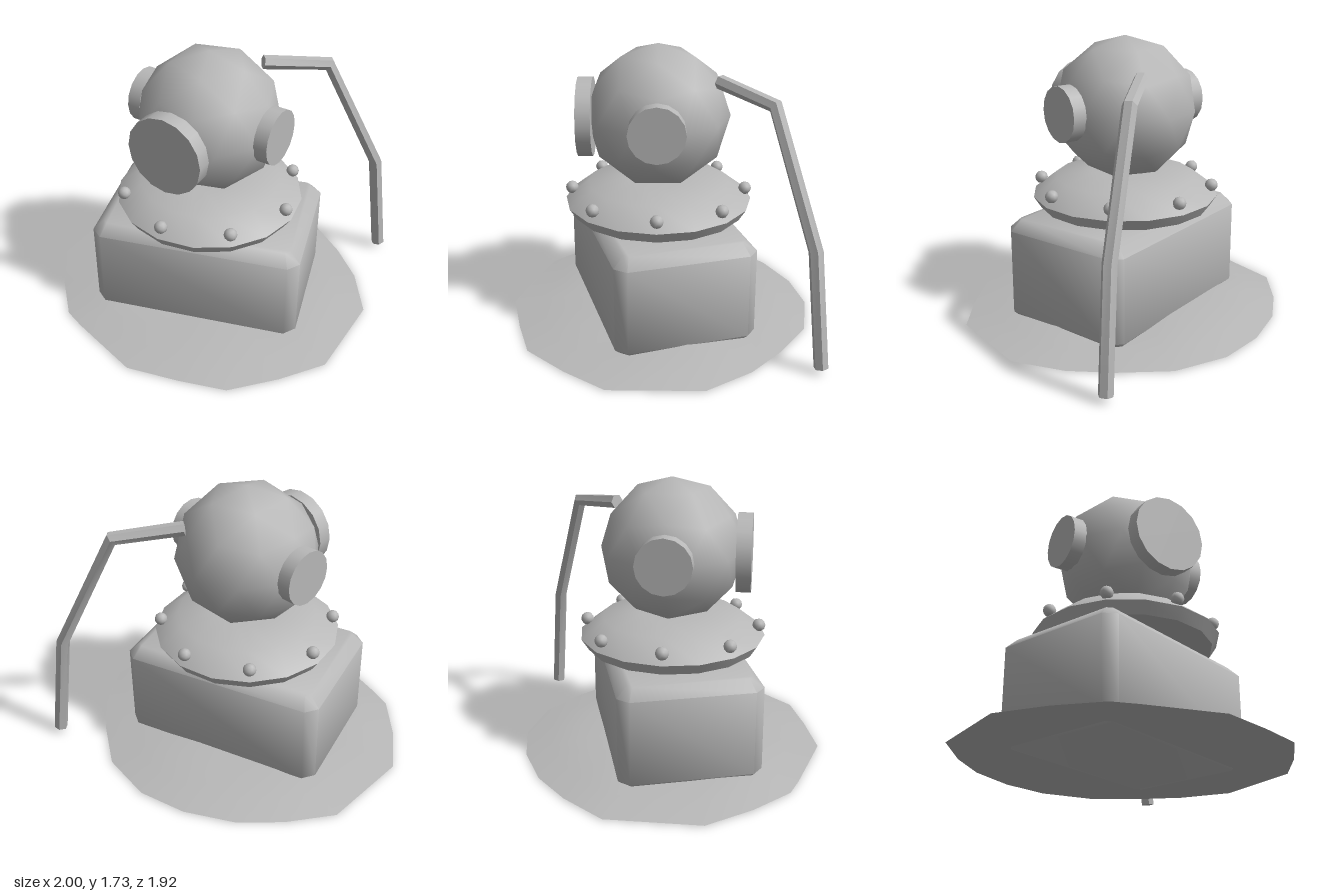
import * as THREE from 'three';
import { toCreasedNormals } from 'three/addons/utils/BufferGeometryUtils.js';

const CZ = 0.02; // common depth of the axis of helmet, collar and block

// Closed skin over rings of points; a single-point ring is a tip.
function skin(rings, crease) {
  const pos = [];
  const n = Math.max(...rings.map((r) => r.length));
  const at = (r, j) => r[j % r.length];
  const tri = (...p) => p.forEach((v) => pos.push(v.x, v.y, v.z));
  for (let i = 0; i < rings.length - 1; i++) {
    const a = rings[i], b = rings[i + 1];
    for (let j = 0; j < n; j++) {
      if (a.length > 1) tri(at(a, j), at(a, j + 1), at(b, j + 1));
      if (b.length > 1) tri(at(a, j), at(b, j + 1), at(b, j));
    }
  }
  const geo = new THREE.BufferGeometry();
  geo.setAttribute('position', new THREE.Float32BufferAttribute(pos, 3));
  return toCreasedNormals(geo, crease);
}

export function createModel() {
  const group = new THREE.Group();
  const grey = new THREE.MeshStandardMaterial({ color: 0xb8b8b8 });
  grey.name = 'plain grey';

  const add = (name, geo, x = 0, y = 0, z = 0) => {
    const mesh = new THREE.Mesh(geo, grey);
    mesh.name = name;
    mesh.position.set(x, y, z);
    group.add(mesh);
    return mesh;
  };

  // Low sandy mound with an irregular outline and a flat underside
  const outline = [
    [1, -0.26], [0.81, -0.53], [0.6, -0.71], [0.32, -0.89], [-0.02, -0.94], [-0.32, -0.87],
    [-0.6, -0.72], [-0.81, -0.52], [-1, -0.26], [-1, 0.31], [-0.81, 0.57], [-0.6, 0.78],
    [-0.46, 0.83], [0, 0.96], [0.32, 0.88], [0.6, 0.79], [0.82, 0.55], [1, 0.3],
  ];
  const moundRing = (s, y, wave) => outline.map(([x, z]) => new THREE.Vector3(
    x * s, y + wave * Math.sin(3 * x + 5 * z), z * s));
  add('sandMound', skin([
    [new THREE.Vector3(0, 0.004, 0)],
    moundRing(1, 0.004, 0),
    moundRing(0.82, 0.034, 0.006),
    moundRing(0.62, 0.06, 0.01),
    moundRing(0.35, 0.07, 0.008),
    [new THREE.Vector3(0, 0.072, 0)],
  ], 0.8));

  // Turned block with chamfered edges
  const w = 0.65, d = 0.434, c = 0.065, h = 0.655;
  const plan = new THREE.Shape([
    [w, -d + c], [w, d - c], [w - c, d], [-w + c, d],
    [-w, d - c], [-w, -d + c], [-w + c, -d], [w - c, -d],
  ].map(([x, y]) => new THREE.Vector2(x, y)));
  const block = new THREE.ExtrudeGeometry(plan, {
    depth: h - 2 * c, bevelEnabled: true, bevelSegments: 1,
    bevelSize: c, bevelOffset: -c, bevelThickness: c,
  });
  block.rotateX(-Math.PI / 2);
  add('block', toCreasedNormals(block, 1.0), 0, c, CZ).rotation.y = 0.3;

  // Collar plate with a sharp rim
  const collar = new THREE.LatheGeometry([
    [0, 0.653], [0.53, 0.684], [0.575, 0.754], [0.433, 0.865], [0.2, 0.887], [0, 0.89],
  ].map(([x, y]) => new THREE.Vector2(x, y)), 16);
  add('collar', toCreasedNormals(collar, 0.75), 0, 0, CZ);

  // Ring of eight round bolts
  const boltGeo = new THREE.IcosahedronGeometry(0.04, 1);
  for (let i = 0; i < 8; i++) {
    const a = (i * Math.PI) / 4;
    add('collarBolt', boltGeo, 0.537 * Math.cos(a), 0.817, CZ + 0.537 * Math.sin(a));
  }

  // Faceted round helmet, one vertex pointing up
  const helmet = new THREE.IcosahedronGeometry(0.438, 1);
  helmet.rotateZ(-Math.atan(2 / (1 + Math.sqrt(5))));
  add('helmet', helmet, 0, 1.29, CZ);

  // Portholes: a large one in front and a smaller one on each side
  const disc = (r, depth) => new THREE.CylinderGeometry(r, r, depth, 16);
  add('frontPorthole', disc(0.242, 0.09).rotateX(Math.PI / 2), 0, 1.278, 0.458);
  for (const s of [-1, 1]) {
    add(s > 0 ? 'leftPorthole' : 'rightPorthole',
      disc(0.168, 0.085).rotateZ(Math.PI / 2), s * 0.434, 1.306, CZ);
  }

  // Bent air hose from the back of the helmet to the ground
  const path = [
    [0.15, 1.535, -0.34], [0.445, 1.475, -0.635], [0.735, 0.73, -0.86], [0.805, 0.035, -0.92],
  ].map((p) => new THREE.Vector3(...p));
  const side = new THREE.Vector3(0.6, 0, 0.8);
  const hoseRings = path.map((p, i) => {
    const t = new THREE.Vector3();
    if (i > 0) t.add(p.clone().sub(path[i - 1]).normalize());
    if (i < path.length - 1) t.add(path[i + 1].clone().sub(p).normalize());
    t.normalize();
    const n = side.clone().addScaledVector(t, -side.dot(t)).normalize();
    const b = new THREE.Vector3().crossVectors(t, n);
    return Array.from({ length: 6 }, (_, j) => {
      const a = (j * Math.PI) / 3;
      return p.clone().addScaledVector(n, 0.043 * Math.cos(a)).addScaledVector(b, 0.043 * Math.sin(a));
    });
  });
  add('airHose', skin([[path[0]], ...hoseRings, [path[path.length - 1]]], 0.5));

  return group;
}
